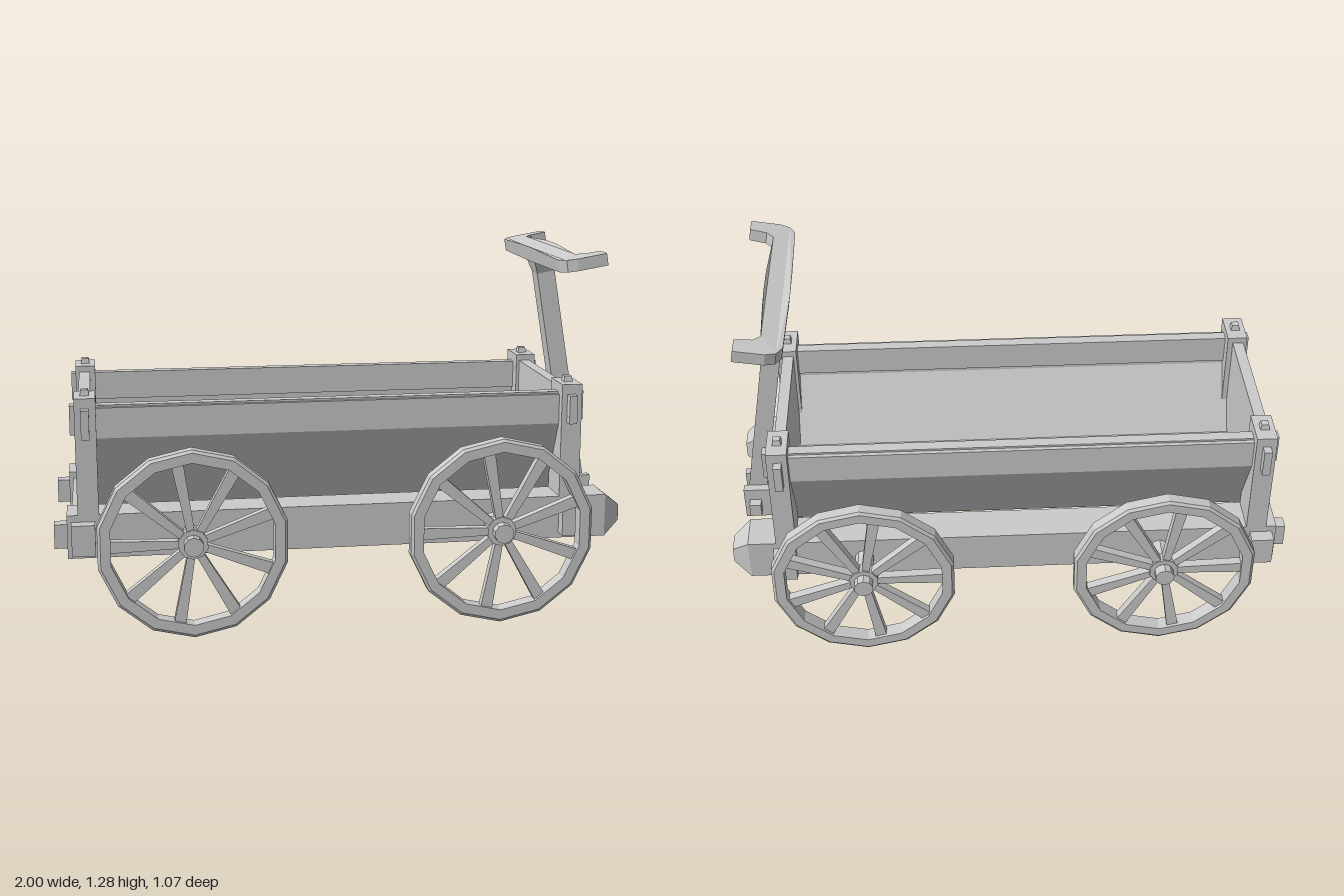
import * as THREE from 'three';

const mat = new THREE.MeshStandardMaterial({ color: 0xcccccc, flatShading: true });

function add(parent, name, geo) {
  const mesh = new THREE.Mesh(geo, mat);
  mesh.name = name;
  parent.add(mesh);
  return mesh;
}

// Box given by its limits on each axis
function box(parent, name, x0, x1, y0, y1, z0, z1) {
  const mesh = add(parent, name, new THREE.BoxGeometry(x1 - x0, y1 - y0, z1 - z0));
  mesh.position.set((x0 + x1) / 2, (y0 + y1) / 2, (z0 + z1) / 2);
  return mesh;
}

// Scale the two other axes of a box at its positive end along one axis
function taper(geo, axis, sa, sb) {
  const p = geo.attributes.position;
  const others = [0, 1, 2].filter((i) => i !== axis);
  for (let i = 0; i < p.count; i++) {
    if (p.getComponent(i, axis) <= 0) continue;
    p.setComponent(i, others[0], p.getComponent(i, others[0]) * sa);
    p.setComponent(i, others[1], p.getComponent(i, others[1]) * sb);
  }
  geo.computeVertexNormals();
  return geo;
}

function polygon(points) {
  return new THREE.Shape(points.map(([a, b]) => new THREE.Vector2(a, b)));
}

function makeWheel() {
  const wheel = new THREE.Group();
  wheel.name = 'wheel';
  // Faceted rim with small chamfers on the outer edges
  const w = 0.027;
  const profile = [[0.283, -w], [0.318, -w], [0.328, -0.02], [0.328, 0.02], [0.318, w], [0.283, w], [0.283, -w]];
  const rim = add(wheel, 'rim', new THREE.LatheGeometry(profile.map(([r, y]) => new THREE.Vector2(r, y)), 14));
  rim.rotation.x = Math.PI / 2;
  const hub = add(wheel, 'hub', new THREE.CylinderGeometry(0.052, 0.052, 0.042, 10));
  hub.rotation.x = Math.PI / 2;
  // Nine spokes, widening towards the rim
  for (let i = 0; i < 9; i++) {
    const geo = taper(new THREE.BoxGeometry(0.26, 0.026, 0.032), 0, 1.6, 1);
    geo.translate(0.165, 0, 0);
    add(wheel, 'spoke', geo).rotation.z = Math.PI + (i * Math.PI * 2) / 9;
  }
  return wheel;
}

function makeHandle() {
  const handle = new THREE.Group();
  handle.name = 'handle';
  handle.position.set(0.785, 1.235, 0);
  handle.rotation.z = 0.17;
  // Shaft hanging from the grip
  box(handle, 'handleShaft', -0.033, 0.033, -0.935, -0.02, -0.035, 0.035);
  // Flared neck under the grip
  const neck = add(handle, 'handleNeck', taper(new THREE.BoxGeometry(0.066, 0.05, 0.07), 1, 1.25, 1.6));
  neck.position.y = -0.042;
  // Grip with ends hooked forwards
  const half = [[-0.045, 0.06], [-0.04, 0.36], [-0.02, 0.395], [0.015, 0.408], [0.12, 0.408],
    [0.12, 0.345], [0.06, 0.335], [0.035, 0.31], [0.045, 0.06]];
  const outline = [...half, ...half.map(([x, z]) => [x, -z]).reverse()];
  const geo = new THREE.ExtrudeGeometry(polygon(outline), { depth: 0.042, bevelEnabled: false });
  geo.rotateX(Math.PI / 2).translate(0, 0.021, 0);
  // The grip is thickest in the middle
  const p = geo.attributes.position;
  for (let i = 0; i < p.count; i++) {
    const rise = 0.014 * Math.max(0, 1 - Math.abs(p.getZ(i)) / 0.4);
    if (p.getY(i) > 0) p.setY(i, p.getY(i) + rise);
  }
  geo.computeVertexNormals();
  add(handle, 'handleGrip', geo);
  return handle;
}

export function createModel() {
  const wagon = new THREE.Group();
  wagon.name = 'wagon';

  // Trough: upright side boards, sloping boards and floor
  const outer = [[0.34, 0.775], [0.34, 0.67], [0.2, 0.385]];
  const inner = [[0.18, 0.415], [0.3, 0.66], [0.3, 0.775]];
  const flip = (pts) => pts.map(([z, y]) => [-z, y]).reverse();
  const section = [...outer, ...flip(outer), ...flip(inner), ...inner];
  const trough = add(wagon, 'trough', new THREE.ExtrudeGeometry(polygon(section), { depth: 1.67, bevelEnabled: false }));
  trough.rotation.y = Math.PI / 2;
  trough.position.x = -0.875;

  // End boards with tenons passing through the posts, and cross beams
  for (const [x0, x1, b0, b1] of [[-0.905, -0.865, -0.94, -0.86], [0.78, 0.82, 0.77, 0.85]]) {
    box(wagon, 'endBoard', x0, x1, 0.425, 0.793, -0.3, 0.3);
    box(wagon, 'endBoardTenon', x0 + 0.008, x1 - 0.004, 0.68, 0.78, -0.405, 0.405);
    box(wagon, 'crossBeam', b0, b1, 0.28, 0.388, -0.42, 0.42);
  }

  for (const s of [1, -1]) {
    const side = (name, x0, x1, y0, y1, z0, z1) =>
      box(wagon, name, x0, x1, y0, y1, Math.min(s * z0, s * z1), Math.max(s * z0, s * z1));
    // Long frame rail with a tapered nose and a rear tenon
    side('frameRail', -0.955, 0.94, 0.26, 0.412, 0.235, 0.372);
    const nose = add(wagon, 'railNose', taper(new THREE.BoxGeometry(0.06, 0.152, 0.137), 0, 0.38, 0.55));
    nose.position.set(0.97, 0.336, s * 0.3035);
    side('railTenon', -1, -0.95, 0.285, 0.37, 0.28, 0.33);
    // Corner posts with pegs
    for (const x of [-0.882, 0.805]) {
      side('cornerPost', x - 0.036, x + 0.036, 0.4, 0.815, 0.237, 0.372);
      const peg = add(wagon, 'postPeg', taper(new THREE.BoxGeometry(0.036, 0.03, 0.036), 1, 0.7, 0.7));
      peg.position.set(x, 0.82, s * 0.305);
    }
    side('sideBoardTenon', -0.935, 0.86, 0.68, 0.782, 0.285, 0.325);
    // Cheeks holding the handle pivot
    side('handleBracket', 0.84, 0.98, 0.28, 0.405, 0.035, 0.065);
  }
  box(wagon, 'handlePivot', 0.918, 0.96, 0.31, 0.36, -0.1, 0.1);
  wagon.add(makeHandle());

  // Axles and wheels
  for (const x of [-0.535, 0.53]) {
    const axle = add(wagon, 'axle', new THREE.CylinderGeometry(0.034, 0.034, 1.07, 10));
    axle.rotation.x = Math.PI / 2;
    axle.position.set(x, 0.33, 0);
    for (const z of [-0.479, 0.479]) {
      const wheel = makeWheel();
      wheel.position.set(x, 0.33, z);
      wagon.add(wheel);
    }
  }
  return wagon;
}
